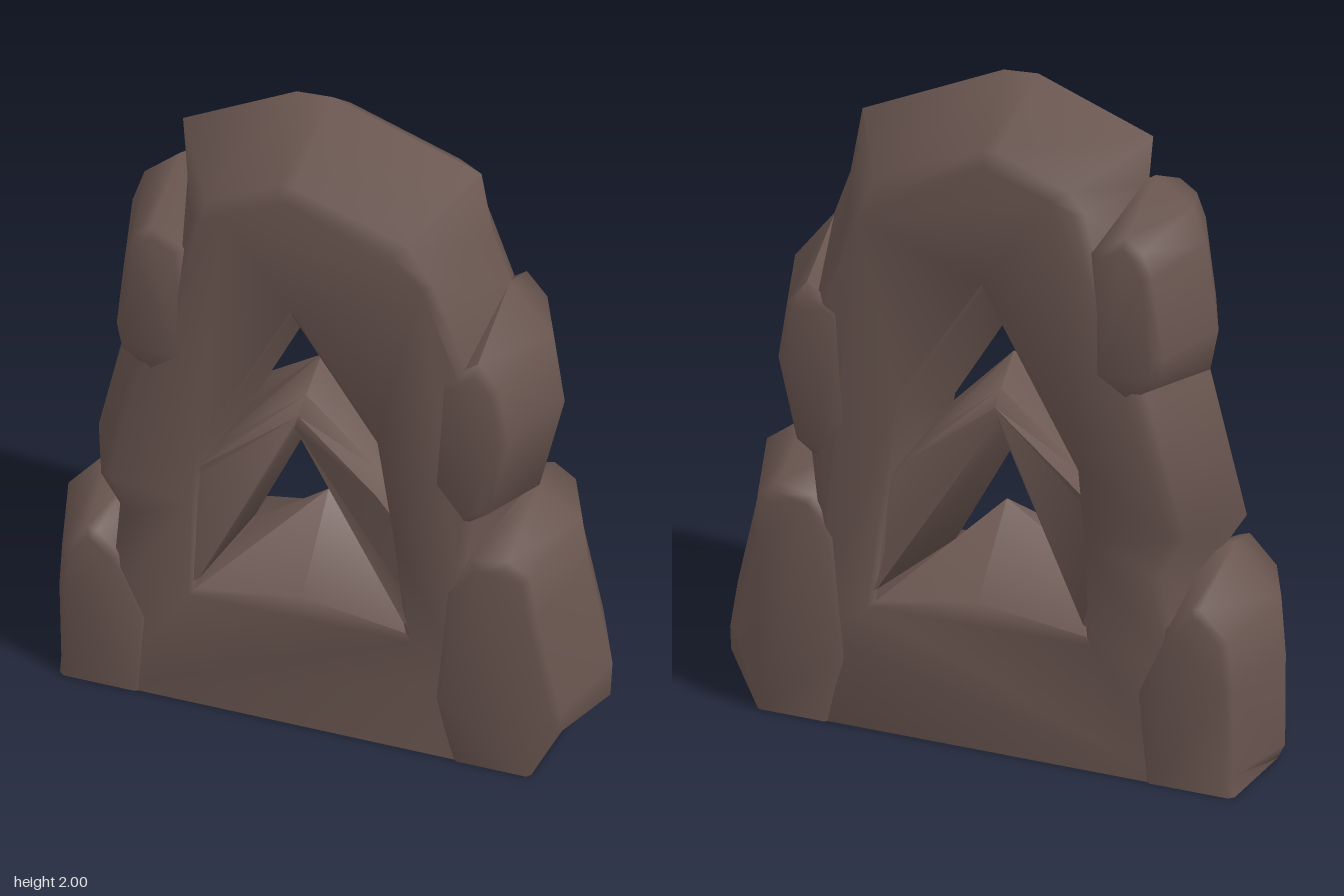
import * as THREE from 'three';
import { toCreasedNormals } from 'three/addons/utils/BufferGeometryUtils.js';

const stone = new THREE.MeshStandardMaterial({ color: 0x6a5650 });
stone.name = 'brown stone';

// Points to a loop that runs counter-clockwise, or clockwise for holes
function loopOf(list, clockwise = false) {
  const loop = list.map(([x, y]) => new THREE.Vector2(x, y));
  return THREE.ShapeUtils.isClockWise(loop) === clockwise ? loop : loop.reverse();
}

const mix = (a, b, t) => a.map((p, i) => p.clone().lerp(b[i], t));

// Shrinks a counter-clockwise loop: more at the crown, none on the ground edge
function inset(loop, d) {
  const n = loop.length;
  return loop.map((p, i) => {
    const a = p.clone().sub(loop[(i + n - 1) % n]).normalize();
    const b = loop[(i + 1) % n].clone().sub(p).normalize();
    const m = new THREE.Vector2(-a.y - b.y, a.x + b.x).normalize();
    const k = d * (p.y > 1.8 ? 1.5 : 1) / Math.max(0.75, -a.y * m.x + a.x * m.y);
    return new THREE.Vector2(p.x + m.x * k, p.y < 0.03 ? p.y : Math.max(0, p.y + m.y * k));
  });
}

// Skins a stack of levels { z, loop, hole }, mirrored from front to back;
// swell scales the depth at each point
function skin(name, half, swell = () => 1) {
  const levels = [
    ...half.slice(1).reverse().map((l) => ({ ...l, z: -l.z })),
    ...half,
  ];
  const pos = [], idx = [];
  const n = half[0].loop.length, h = half[0].hole.length, size = n + h;
  for (const l of levels) {
    for (const p of [...l.loop, ...l.hole]) pos.push(p.x, p.y, l.z * swell(p));
  }
  const wall = (start, count, k) => {
    for (let i = 0; i < count; i++) {
      const a = k * size + start + i, b = k * size + start + (i + 1) % count;
      idx.push(a, b, b + size, a, b + size, a + size);
    }
  };
  for (let k = 0; k < levels.length - 1; k++) {
    wall(0, n, k);
    wall(n, h, k);
  }
  const end = half[half.length - 1], top = (levels.length - 1) * size;
  for (const [a, b, c] of THREE.ShapeUtils.triangulateShape(end.loop, h ? [end.hole] : [])) {
    idx.push(top + a, top + b, top + c, a, c, b);
  }
  const geo = new THREE.BufferGeometry();
  geo.setAttribute('position', new THREE.Float32BufferAttribute(pos, 3));
  geo.setIndex(idx);
  const mesh = new THREE.Mesh(toCreasedNormals(geo, 1.3), stone);
  mesh.name = name;
  return mesh;
}

// A slab of rock: widest at mid depth, bevelled towards front and back
function rock(name, outline, depth, bevel, hole = [], wideHole = []) {
  const loop = loopOf(outline);
  const h0 = loopOf(hole, true), h1 = loopOf(wideHole, true);
  return skin(name, [
    { z: 0, loop, hole: h0 },
    { z: depth * 0.95, loop: inset(loop, bevel), hole: mix(h0, h1, 0.85) },
    { z: depth, loop: inset(loop, bevel * 1.3), hole: h1 },
  ]);
}

export function createModel() {
  const group = new THREE.Group();
  group.name = 'rockArch';

  // Main arch with its tall pointed opening
  group.add(rock('archBody', [
    [-0.1, 2], [0, 2], [0.42, 1.84], [0.46, 1.65], [0.52, 1.5], [0.6, 1.3], [0.61, 1.05],
    [0.58, 0.7], [0.62, 0.3], [0.6, 0], [-0.75, 0], [-0.72, 0.4], [-0.66, 0.65],
    [-0.73, 0.77], [-0.61, 1.2], [-0.48, 1.5], [-0.42, 1.72], [-0.43, 1.86],
  ], 0.258, 0.1, [
    [-0.05, 1.33], [0.18, 0.96], [0.19, 0.75], [0.17, 0.52],
    [-0.01, 0.7], [-0.24, 0.54], [-0.27, 0.75], [-0.25, 0.95],
  ], [
    [-0.03, 1.47], [0.22, 1.1], [0.28, 0.75], [0.33, 0.41],
    [-0.01, 0.44], [-0.36, 0.41], [-0.34, 0.75], [-0.32, 0.95],
  ]));

  // Pointed bar dividing the opening: a ridge whose legs swell into the pillars
  const bar = loopOf([
    [-0.03, 1.17], [0.18, 0.96], [0.3, 0.85], [0.4, 0.4], [0.15, 0.54],
    [-0.06, 0.93], [-0.24, 0.55], [-0.42, 0.4], [-0.35, 0.85], [-0.25, 0.95],
  ]);
  const ridge = loopOf([
    [-0.04, 1.07], [0.21, 0.89], [0.33, 0.75], [0.4, 0.42], [0.3, 0.47],
    [-0.05, 1.03], [-0.33, 0.47], [-0.42, 0.42], [-0.4, 0.78], [-0.34, 0.86],
  ]);
  group.add(skin('dividingBar', [
    { z: 0, loop: bar, hole: [] },
    { z: 0.12, loop: mix(bar, ridge, 0.65), hole: [] },
    { z: 0.18, loop: ridge, hole: [] },
  ], (p) => Math.min(1.4, 1 + 1.3 * Math.abs(p.x + 0.04))));

  // Boulders swelling out of the arch, two on each side
  group.add(rock('upperRightBoulder', [
    [-0.44, 1.75], [-0.55, 1.67], [-0.59, 1.57], [-0.63, 1.32], [-0.61, 1.2],
    [-0.45, 1.08], [-0.27, 1.2], [-0.26, 1.65],
  ], 0.262, 0.08));
  group.add(rock('upperLeftBoulder', [
    [0.51, 1.52], [0.64, 1.37], [0.68, 1.16], [0.62, 0.86],
    [0.45, 0.74], [0.28, 0.95], [0.3, 1.38],
  ], 0.262, 0.09));
  group.add(rock('lowerLeftBoulder', [
    [0.62, 0.86], [0.75, 0.77], [0.78, 0.6], [0.865, 0.27], [0.865, 0.15], [0.74, 0],
    [0.4, 0], [0.3, 0.2], [0.33, 0.65], [0.44, 0.82],
  ], 0.264, 0.09));
  group.add(rock('lowerRightBoulder', [
    [-0.7, 0.68], [-0.84, 0.53], [-0.86, 0.35], [-0.87, 0.05], [-0.85, 0],
    [-0.45, 0], [-0.4, 0.3], [-0.5, 0.55], [-0.6, 0.65],
  ], 0.264, 0.085));
  return group;
}
